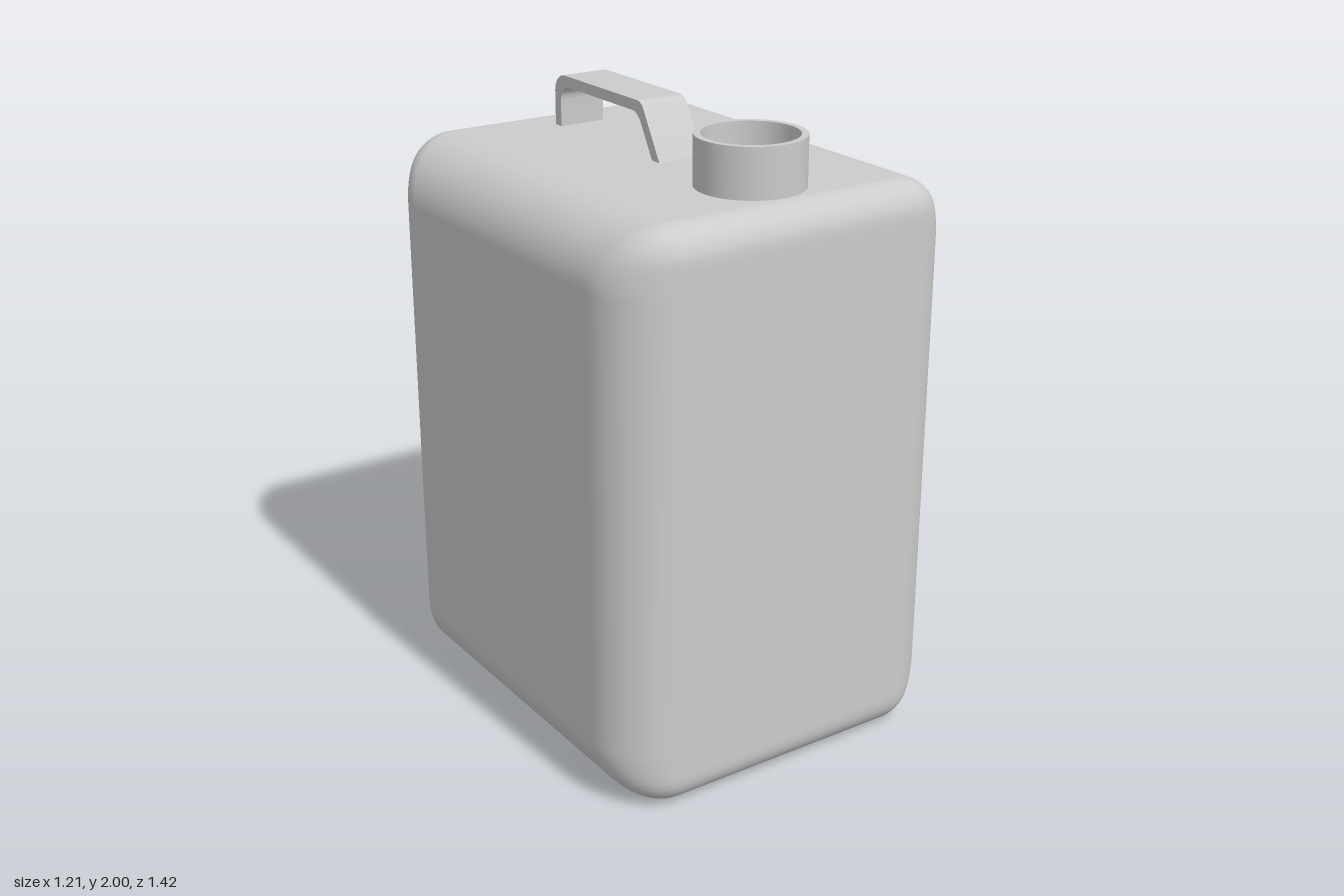
import * as THREE from 'three';
import { mergeGeometries, toCreasedNormals } from 'three/addons/utils/BufferGeometryUtils.js';

const HEIGHT = 1.83, FLAT_X = 0.405, FLAT_Z = 0.61; // body height, half size of the flat top
const SIDE_R = 0.2, END_R = 0.1;                    // wide side rounding, tight front/back rounding
const WALL = 0.021, NECK_Z = 0.447, NECK_R = 0.167;

// Rounded walls as stacked rounded-rectangle rings, shrunk by an offset
function wallsGeometry(offset, inward) {
  const N = 12, R = SIDE_R - offset, E = END_R - offset, half = HEIGHT / 2 - offset;
  const levels = [];
  for (let i = 0; i <= N; i++) levels.push(half - R + R * Math.sin((i / N) * Math.PI / 2));
  const heights = [...levels.map((y) => -y).reverse(), ...levels];
  const positions = [], index = [], ringSize = 4 * (N + 1);
  for (const y of heights) {
    const a = Math.abs(y);
    const r = Math.sqrt(Math.max(0, R * R - (a - half + R) ** 2));
    const e = Math.max(0, a - half + E);
    const hx = FLAT_X + r, hz = FLAT_Z + Math.sqrt(Math.max(0, E * E - e * e));
    for (let q = 0; q < 4; q++) {
      const sx = q === 0 || q === 3 ? 1 : -1, sz = q < 2 ? 1 : -1;
      for (let k = 0; k <= N; k++) {
        const t = (q + k / N) * Math.PI / 2;
        positions.push(sx * (hx - r) + r * Math.cos(t), y + HEIGHT / 2, sz * (hz - r) + r * Math.sin(t));
      }
    }
  }
  for (let j = 0; j < heights.length - 1; j++) {
    for (let i = 0; i < ringSize; i++) {
      const a = j * ringSize + i, b = j * ringSize + (i + 1) % ringSize;
      const c = a + ringSize, d = b + ringSize;
      if (inward) index.push(a, b, c, b, d, c);
      else index.push(a, c, b, b, c, d);
    }
  }
  const g = new THREE.BufferGeometry();
  g.setAttribute('position', new THREE.Float32BufferAttribute(positions, 3));
  g.setIndex(index);
  g.computeVertexNormals();
  // Blend the first and last ring into the flat bottom and top
  const s = inward ? -1 : 1, last = (heights.length - 1) * ringSize;
  for (let i = 0; i < ringSize; i++) {
    g.attributes.normal.setXYZ(i, 0, -s, 0);
    g.attributes.normal.setXYZ(last + i, 0, s, 0);
  }
  return g;
}

// Flat top or bottom panel, optionally with the pouring hole
function panelGeometry(y, faceUp, hole) {
  const shape = new THREE.Shape([
    new THREE.Vector2(-FLAT_X, -FLAT_Z), new THREE.Vector2(FLAT_X, -FLAT_Z),
    new THREE.Vector2(FLAT_X, FLAT_Z), new THREE.Vector2(-FLAT_X, FLAT_Z),
  ]);
  if (hole) {
    shape.holes.push(new THREE.Path().absarc(0, faceUp ? -NECK_Z : NECK_Z, NECK_R - WALL, 0, Math.PI * 2, true));
  }
  const g = new THREE.ShapeGeometry(shape, 32);
  g.rotateX(faceUp ? -Math.PI / 2 : Math.PI / 2);
  g.translate(0, y, 0);
  g.deleteAttribute('uv');
  return g;
}

function shellGeometry(offset, inward) {
  return mergeGeometries([
    wallsGeometry(offset, inward),
    panelGeometry(HEIGHT - offset, !inward, true),
    panelGeometry(offset, inward, false),
  ]);
}

// Open pouring neck, passing through the wall of the body
function neckGeometry() {
  const inner = NECK_R - WALL, top = 1.985;
  const profile = [[NECK_R, HEIGHT], [NECK_R, top], [inner, top], [inner, HEIGHT - WALL]];
  const g = new THREE.LatheGeometry(profile.map(([x, y]) => new THREE.Vector2(x, y)), 64);
  return toCreasedNormals(g, 0.6).translate(0, 0, NECK_Z);
}

// Bent strap handle: side outline extruded across the width
function handleGeometry() {
  const s = new THREE.Shape();
  s.moveTo(0.101, 1.82);
  s.lineTo(0.008, 1.98);
  s.quadraticCurveTo(-0.004, 2, -0.03, 2);
  s.lineTo(-0.45, 2);
  s.absarc(-0.45, 1.94, 0.06, Math.PI / 2, Math.PI, false);
  s.lineTo(-0.51, 1.82);
  s.lineTo(-0.475, 1.82);
  s.lineTo(-0.475, 1.915);
  s.absarc(-0.425, 1.915, 0.05, Math.PI, Math.PI / 2, true);
  s.lineTo(-0.055, 1.965);
  s.quadraticCurveTo(-0.022, 1.965, -0.003, 1.93);
  s.lineTo(0.061, 1.82);
  const g = new THREE.ExtrudeGeometry(s, { depth: 0.16, bevelEnabled: false, curveSegments: 12 });
  g.translate(0, 0, -0.08);
  g.rotateY(-Math.PI / 2);
  return toCreasedNormals(g, 0.5);
}

export function createModel() {
  const group = new THREE.Group();
  group.name = 'canister';
  const material = new THREE.MeshStandardMaterial({ color: 0xcccccc });
  const add = (name, geometry) => {
    const mesh = new THREE.Mesh(geometry, material);
    mesh.name = name;
    group.add(mesh);
  };
  add('body', shellGeometry(0, false));
  add('bodyInside', shellGeometry(WALL, true));
  add('neck', neckGeometry());
  add('handle', handleGeometry());
  return group;
}
